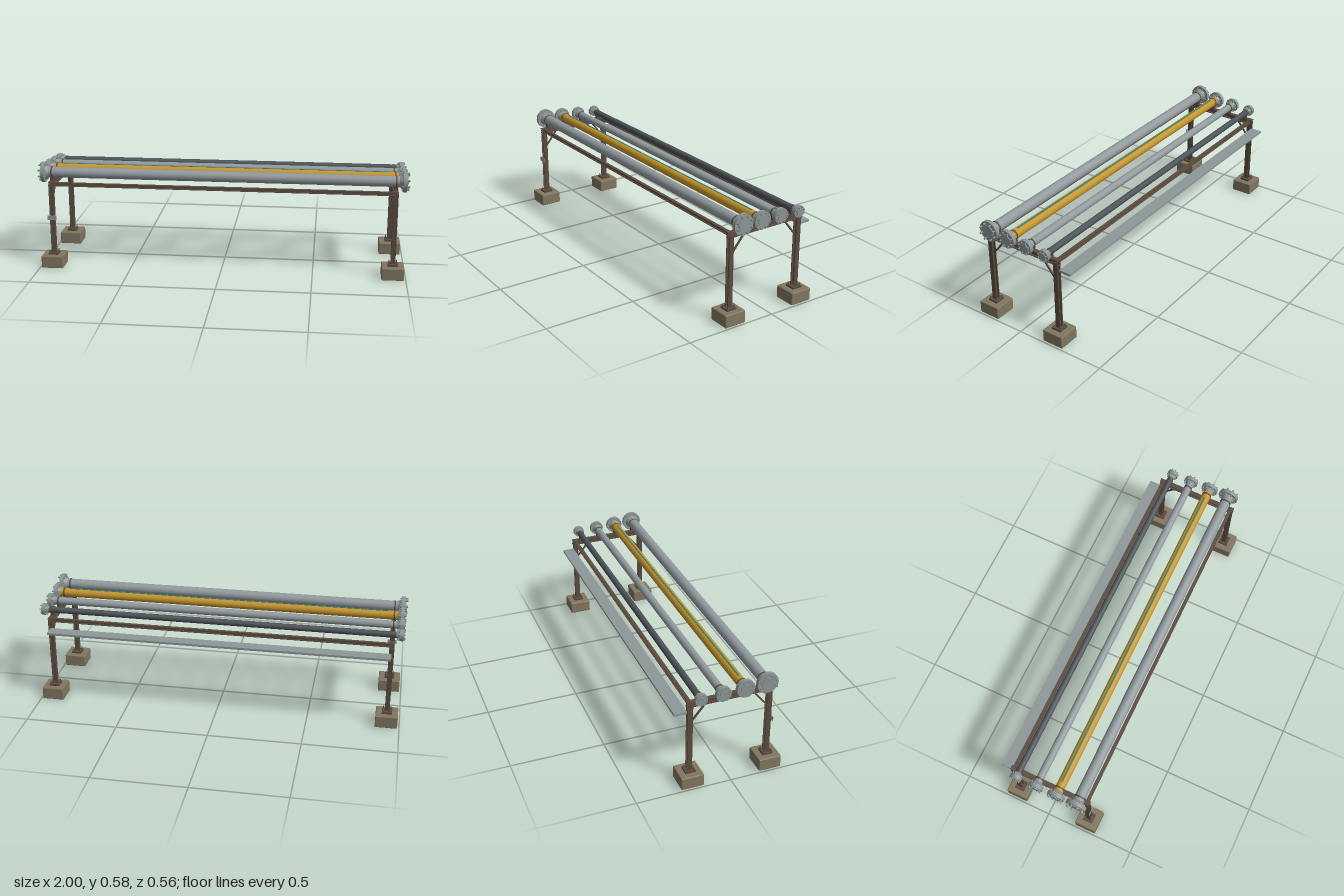
import * as THREE from 'three';
import { RoundedBoxGeometry } from 'three/addons/geometries/RoundedBoxGeometry.js';

const mat = (name, color) => {
  const m = new THREE.MeshStandardMaterial({ color });
  m.name = name;
  return m;
};

export function createModel() {
  const root = new THREE.Group();
  root.name = 'pipeRack';

  const steel = mat('brown steel', 0x5b4b40);
  const concrete = mat('concrete', 0x81765f);
  const greyPipe = mat('grey pipe', 0x929a9e);
  const yellowPipe = mat('yellow pipe', 0xc4942c);
  const darkPipe = mat('dark pipe', 0x4c5256);
  const flangeGrey = mat('flange grey', 0x8c9595);
  const boltSteel = mat('bolt steel', 0x555a5c);
  const galvanised = mat('galvanised', 0x8e9898);
  const teal = mat('teal stripe', 0x2c7f78);

  const add = (parent, name, geo, material, x = 0, y = 0, z = 0) => {
    const mesh = new THREE.Mesh(geo, material);
    mesh.name = name;
    mesh.position.set(x, y, z);
    parent.add(mesh);
    return mesh;
  };
  const group = (name) => {
    const g = new THREE.Group();
    g.name = name;
    root.add(g);
    return g;
  };
  const box = (w, h, d) => new THREE.BoxGeometry(w, h, d);
  // Cylinder lying along x; r0 is the radius at the -x end
  const rod = (r0, r1, len, sides = 16) =>
    new THREE.CylinderGeometry(r1, r0, len, sides).rotateZ(-Math.PI / 2);

  // I-section along z, flanges at top and bottom, centred
  const iBeam = (w, h, len, t) => {
    const a = w / 2, b = h / 2, c = t / 2;
    const s = new THREE.Shape([
      [-a, -b], [a, -b], [a, -b + t], [c, -b + t], [c, b - t], [a, b - t],
      [a, b], [-a, b], [-a, b - t], [-c, b - t], [-c, -b + t], [-a, -b + t],
    ].map(([x, y]) => new THREE.Vector2(x, y)));
    return new THREE.ExtrudeGeometry(s, { depth: len, bevelEnabled: false }).translate(0, 0, -len / 2);
  };

  const endX = 0.93, frontZ = 0.22, backZ = -0.2;

  // Legs: footing, base plate, anchor bolts and post
  for (const x of [-endX, endX]) {
    for (const z of [frontZ, backZ]) {
      const leg = group('leg');
      leg.position.set(x, 0, z);
      add(leg, 'footing', new RoundedBoxGeometry(0.12, 0.068, 0.12, 1, 0.005), concrete, 0, 0.036, 0);
      add(leg, 'basePlate', box(0.055, 0.01, 0.055), steel, 0, 0.075, 0);
      for (const bx of [-0.02, 0.02]) {
        for (const bz of [-0.02, 0.02]) {
          add(leg, 'anchorBolt', new THREE.CylinderGeometry(0.003, 0.003, 0.015, 6), boltSteel, bx, 0.086, bz);
        }
      }
      const post = iBeam(0.026, 0.026, 0.39, 0.005).rotateZ(Math.PI / 2).rotateX(-Math.PI / 2);
      add(leg, 'post', post, steel, 0, 0.273, 0);

      // Diagonal knee brace running inward and up to the cross beam
      const inward = z > 0 ? -1 : 1;
      const brace = add(leg, 'kneeBrace', box(0.008, 0.132, 0.008), steel, 0, 0.415, inward * 0.052);
      brace.rotation.x = inward * Math.atan2(0.082, 0.102);
    }
    add(root, 'crossBeam', iBeam(0.024, 0.03, 0.454, 0.005), steel, x, 0.467, 0.01);
  }

  // Beams along the length
  for (const z of [frontZ, backZ]) {
    add(root, 'longBeam', iBeam(0.018, 0.02, 1.86, 0.004).rotateY(Math.PI / 2), steel, 0, 0.469, z);
  }

  // Pipes with saddles, clamp bands and bolted end flanges
  const pipes = [
    { z: 0.183, y: 0.527, r: 0.029, R: 0.056, m: greyPipe },
    { z: 0.068, y: 0.522, r: 0.025, R: 0.048, m: yellowPipe },
    { z: -0.047, y: 0.518, r: 0.021, R: 0.04, m: greyPipe },
    { z: -0.162, y: 0.513, r: 0.017, R: 0.032, m: darkPipe },
  ];
  for (const { z, y, r, R, m } of pipes) {
    const line = group('pipeLine');
    line.position.set(0, y, z);
    add(line, 'pipe', rod(r, r, 1.94, 20), m);
    const gap = y - r * 0.85 - 0.48;
    for (const s of [-1, 1]) {
      add(line, 'saddle', box(0.02, gap, r * 1.3), steel, s * endX, 0.48 + gap / 2 - y, 0);
      add(line, 'clampBand', rod(r + 0.002, r + 0.002, 0.008, 20), steel, s * endX, 0, 0);

      const end = new THREE.Group();
      end.name = 'endFlange';
      if (s < 0) end.rotation.y = Math.PI;
      line.add(end);
      add(end, 'hub', rod(r * 1.05, r * 1.4, 0.02), flangeGrey, 0.957, 0, 0);
      add(end, 'flangeDisc', rod(R, R, 0.02), flangeGrey, 0.975, 0, 0);
      add(end, 'raisedFace', rod(R * 0.6, R * 0.6, 0.006), flangeGrey, 0.987, 0, 0);
      for (let i = 0; i < 8; i++) {
        const a = (i + 0.5) * Math.PI / 4;
        add(end, 'flangeBolt', rod(R * 0.09, R * 0.09, 0.042, 6), flangeGrey,
          R > 0.05 ? 0.979 : 0.974, Math.sin(a) * R * 0.79, Math.cos(a) * R * 0.79);
      }
    }
  }

  // Marking stripe along the top of the yellow pipe
  add(root, 'pipeStripe', box(1.8, 0.003, 0.008), teal, 0, 0.5465, 0.066);

  // Cable tray behind the back posts
  add(root, 'cableTray', box(1.86, 0.012, 0.066), galvanised, 0, 0.418, -0.246);

  // Tag plate on the front right post
  add(root, 'tagPlate', box(0.05, 0.026, 0.003), galvanised, -endX, 0.281, 0.238);

  return root;
}
